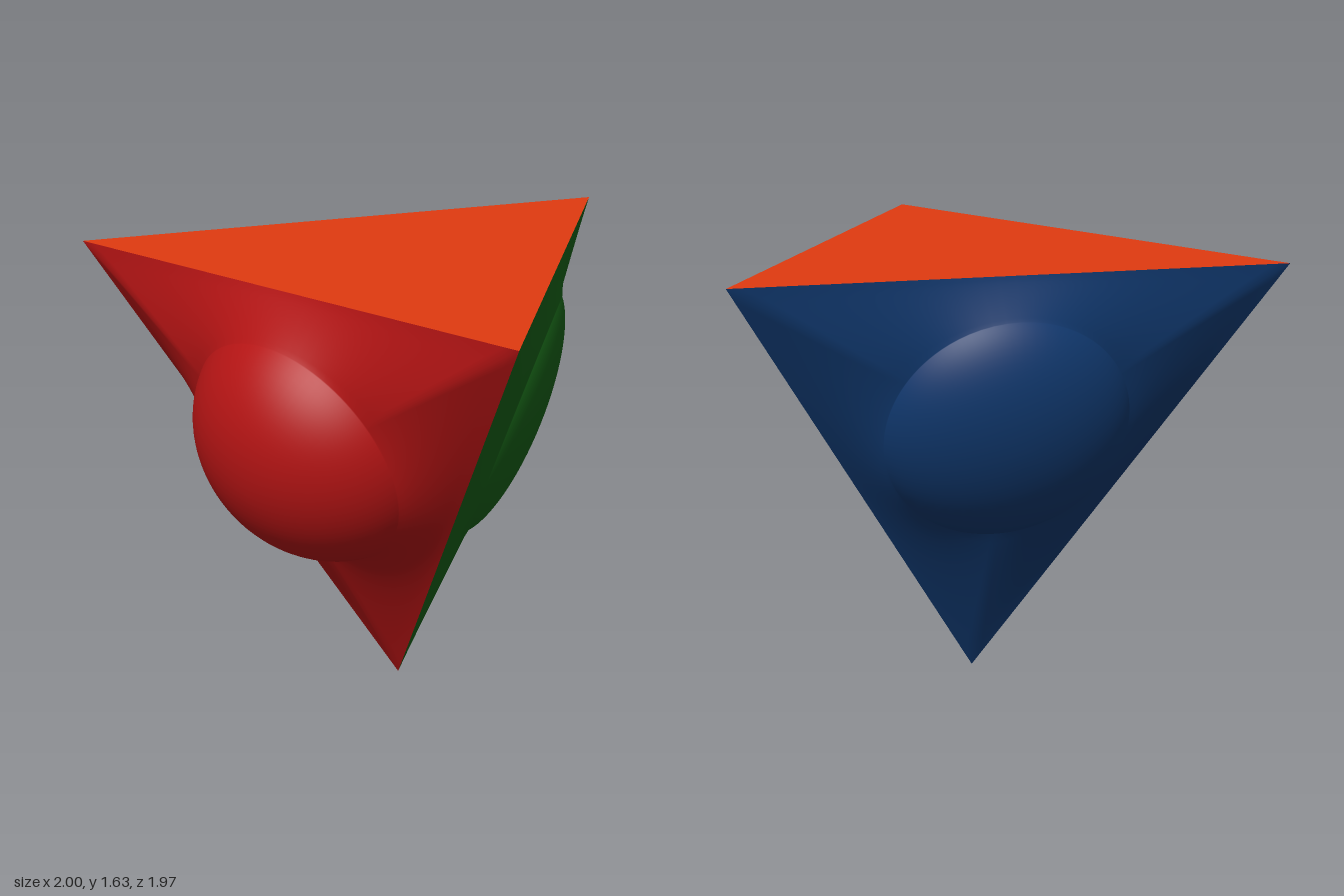
import * as THREE from 'three';

// Corners of a regular tetrahedron standing on its tip
const LEFT = new THREE.Vector3(1, 1.633, 0.75);
const RIGHT = new THREE.Vector3(-1, 1.633, 0.75);
const BACK = new THREE.Vector3(0, 1.633, -0.982);
const TIP = new THREE.Vector3(0, 0, 0.173);

const DOME_RADIUS = 0.48; // full radius of the dome ellipse
const DOME_RIM = 0.45;    // where the dome turns into the skirt
const SIDE = 32, DOME_RINGS = 18, SKIRT_RINGS = 12;

const domeHeight = (r) => Math.sqrt(1 - (r / DOME_RADIUS) ** 2);

// Triangular face swollen into a dome, with a skirt running out to its edges
function domedFace(name, corners, height, color) {
  const [a, b, c] = corners;
  const centre = new THREE.Vector3().add(a).add(b).add(c).divideScalar(3);
  const normal = b.clone().sub(a).cross(c.clone().sub(a)).normalize();
  const around = SIDE * 3, rings = DOME_RINGS + SKIRT_RINGS;
  const positions = [], index = [];
  const put = (v) => positions.push(v.x, v.y, v.z);

  put(centre.clone().addScaledVector(normal, height));
  for (let ring = 1; ring <= rings; ring++) {
    for (let i = 0; i < around; i++) {
      const k = Math.floor(i / SIDE);
      const spoke = corners[k].clone().lerp(corners[(k + 1) % 3], (i % SIDE) / SIDE).sub(centre);
      const edge = spoke.length();
      let r, h;
      if (ring <= DOME_RINGS) {
        r = DOME_RIM * Math.sin((ring / DOME_RINGS) * Math.PI / 2);
        h = domeHeight(r);
      } else {
        const u = (ring - DOME_RINGS) / SKIRT_RINGS;
        r = DOME_RIM + (edge - DOME_RIM) * u;
        h = domeHeight(DOME_RIM) * (1 - u) ** 1.12;
      }
      put(spoke.multiplyScalar(r / edge).add(centre).addScaledVector(normal, h * height));

      const j = (i + 1) % around, outer = 1 + (ring - 1) * around, inner = outer - around;
      if (ring === 1) index.push(0, outer + i, outer + j);
      else index.push(inner + i, outer + i, outer + j, inner + i, outer + j, inner + j);
    }
  }
  const geometry = new THREE.BufferGeometry();
  geometry.setAttribute('position', new THREE.Float32BufferAttribute(positions, 3));
  geometry.setIndex(index);
  geometry.computeVertexNormals();
  const mesh = new THREE.Mesh(geometry, new THREE.MeshStandardMaterial({ color }));
  mesh.name = name;
  return mesh;
}

export function createModel() {
  const model = new THREE.Group();
  model.name = 'domedTetrahedron';

  // Three sloping faces, each with a dome of its own height
  model.add(domedFace('frontFace', [RIGHT, TIP, LEFT], 0.42, 0xb41414));
  model.add(domedFace('rightFace', [BACK, TIP, RIGHT], 0.27, 0x10386e));
  model.add(domedFace('leftFace', [LEFT, TIP, BACK], 0.15, 0x166016));

  // Flat top
  const top = new THREE.BufferGeometry().setFromPoints([RIGHT, LEFT, BACK]);
  top.computeVertexNormals();
  const topFace = new THREE.Mesh(top, new THREE.MeshStandardMaterial({ color: 0xe03a10 }));
  topFace.name = 'topFace';
  model.add(topFace);

  return model;
}
